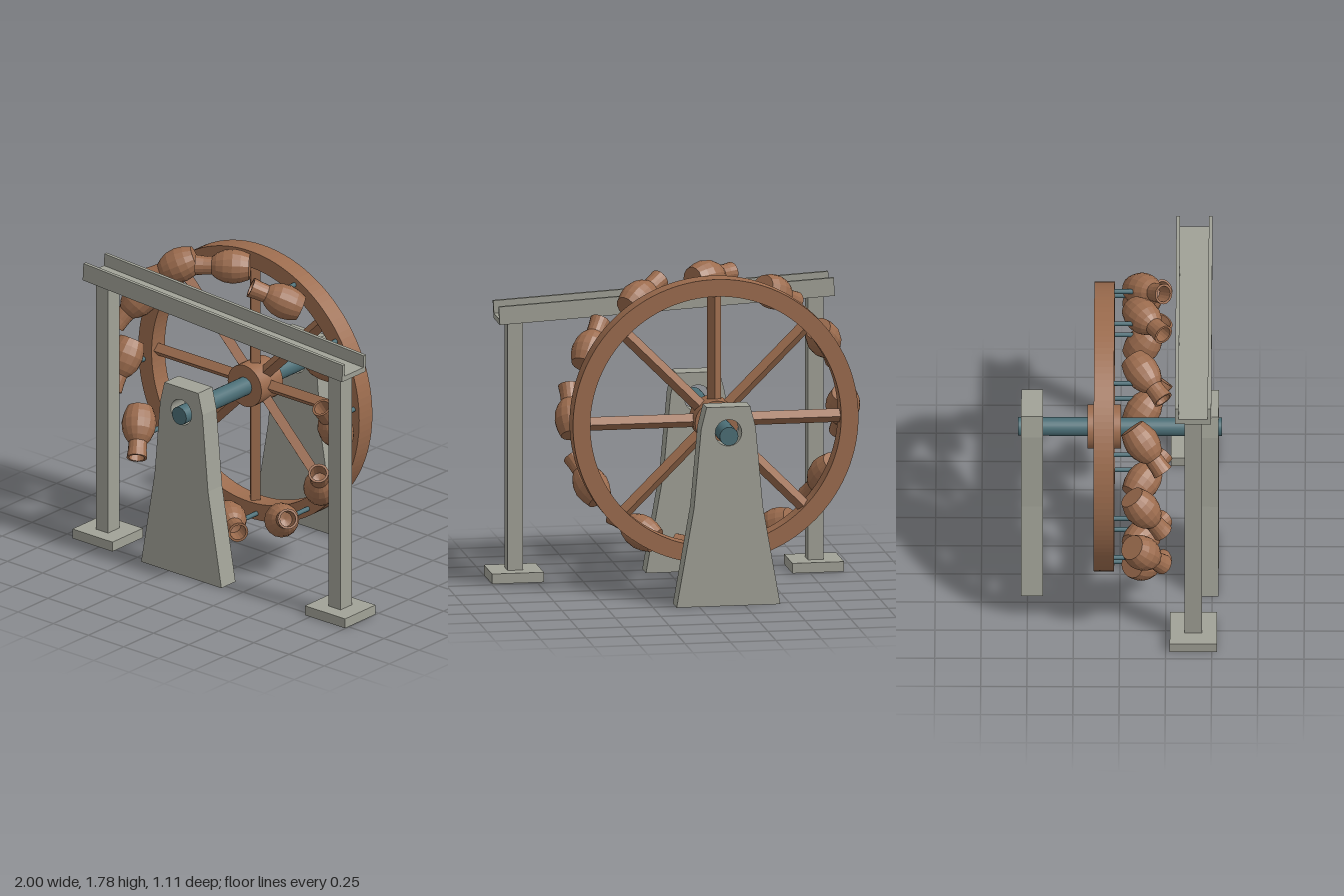
import * as THREE from 'three';

const mat = (name, color) => {
  const m = new THREE.MeshStandardMaterial({ color });
  m.name = name;
  return m;
};

export function createModel() {
  const wood = mat('warm brown', 0x9c6c4e);
  const stone = mat('grey stone', 0xa1a297);
  const steel = mat('teal steel', 0x4b6e76);

  const root = new THREE.Group();
  root.name = 'waterWheel';
  const CX = -0.16, CY = 0.94;

  const add = (parent, name, geo, material, x = 0, y = 0, z = 0) => {
    const m = new THREE.Mesh(geo, material);
    m.name = name;
    m.position.set(x, y, z);
    parent.add(m);
    return m;
  };
  // flat facets without touching the material
  const faceted = (geo) => {
    const g = geo.toNonIndexed();
    g.computeVertexNormals();
    return g;
  };
  const hole = (x, y, r) => new THREE.Path().absarc(x, y, r, 0, Math.PI * 2, true);
  const extrude = (shape, depth, curveSegments) =>
    new THREE.ExtrudeGeometry(shape, { depth, bevelEnabled: false, curveSegments });

  // Wheel, centred on its axle
  const wheel = new THREE.Group();
  wheel.name = 'wheel';
  wheel.position.set(CX, CY, 0);
  root.add(wheel);

  const rimShape = new THREE.Shape().absarc(0, 0, 0.785, 0, Math.PI * 2, false);
  rimShape.holes.push(hole(0, 0, 0.69));
  add(wheel, 'rim', extrude(rimShape, 0.11, 64), wood, 0, 0, -0.14);

  const alongZ = (r, length, sides) =>
    new THREE.CylinderGeometry(r, r, length, sides).rotateX(Math.PI / 2);
  add(wheel, 'hub', alongZ(0.12, 0.18, 32), wood, 0, 0, -0.085);
  add(wheel, 'axle', alongZ(0.051, 1.105, 24), steel);

  // Spokes: square bars standing on edge
  const spokeGeo = new THREE.BoxGeometry(0.62, 0.053, 0.053)
    .rotateX(Math.PI / 4).translate(0.4, 0, 0);
  for (let i = 0; i < 8; i++) {
    add(wheel, 'spoke', spokeGeo, wood, 0, 0, -0.085).rotation.z = i * Math.PI / 4;
  }

  // Jars: hollow neck, tilted outward from the rim, each on a peg
  const jarGeo = faceted(new THREE.LatheGeometry([
    [0, 0], [0.07, 0], [0.087, 0.045], [0.095, 0.09], [0.088, 0.14], [0.07, 0.18],
    [0.05, 0.205], [0.051, 0.25], [0.056, 0.295], [0.043, 0.295], [0.04, 0.2], [0, 0.19],
  ].map(([x, y]) => new THREE.Vector2(x, y)), 16));
  const pegGeo = alongZ(0.013, 0.18, 12);
  for (let i = 0; i < 12; i++) {
    const unit = new THREE.Group();
    unit.name = 'jarUnit';
    unit.rotation.z = i * Math.PI / 6;
    wheel.add(unit);
    add(unit, 'jar', jarGeo, wood, 0.745, -0.09, 0.067)
      .rotation.x = THREE.MathUtils.degToRad(35);
    add(unit, 'peg', pegGeo, steel, 0.745, 0.055, 0.04);
  }

  // Tapered supports with an oversize bearing hole
  const half = [[0.285, 0], [0.19, 0.54], [0.15, 0.98], [0.12, 1.1]];
  const outline = [
    ...half, ...half.slice().reverse().map(([x, y]) => [-x, y]),
  ].map(([x, y]) => new THREE.Vector2(x, y));
  const supportShape = new THREE.Shape(outline);
  supportShape.holes.push(hole(0, 0.957, 0.073));
  const supportGeo = extrude(supportShape, 0.118, 24);
  add(root, 'frontSupport', supportGeo, stone, CX, 0, 0.417);
  add(root, 'backSupport', supportGeo, stone, CX, 0, -0.535);

  // Trough posts, cut to the slope at the top
  for (const [x, top] of [[-0.797, 1.525], [0.855, 1.435]]) {
    add(root, 'post', new THREE.BoxGeometry(0.085, top - 0.05, 0.095), stone,
      x, (top + 0.05) / 2, 0.4);
    add(root, 'foot', new THREE.BoxGeometry(0.285, 0.055, 0.255), stone, x, 0.0275, 0.4);
  }

  // Sloping open trough
  const section = new THREE.Shape([
    [-0.098, 0], [0.098, 0], [0.098, 0.1], [0.078, 0.1],
    [0.078, 0.03], [-0.078, 0.03], [-0.078, 0.1], [-0.098, 0.1],
  ].map(([x, y]) => new THREE.Vector2(x, y)));
  const troughGeo = extrude(section, 1.845, 1)
    .translate(0, -0.05, -0.9225).rotateY(Math.PI / 2);
  add(root, 'trough', troughGeo, stone, 0.031, 1.522, 0.399)
    .rotation.z = -THREE.MathUtils.degToRad(3);

  return root;
}
